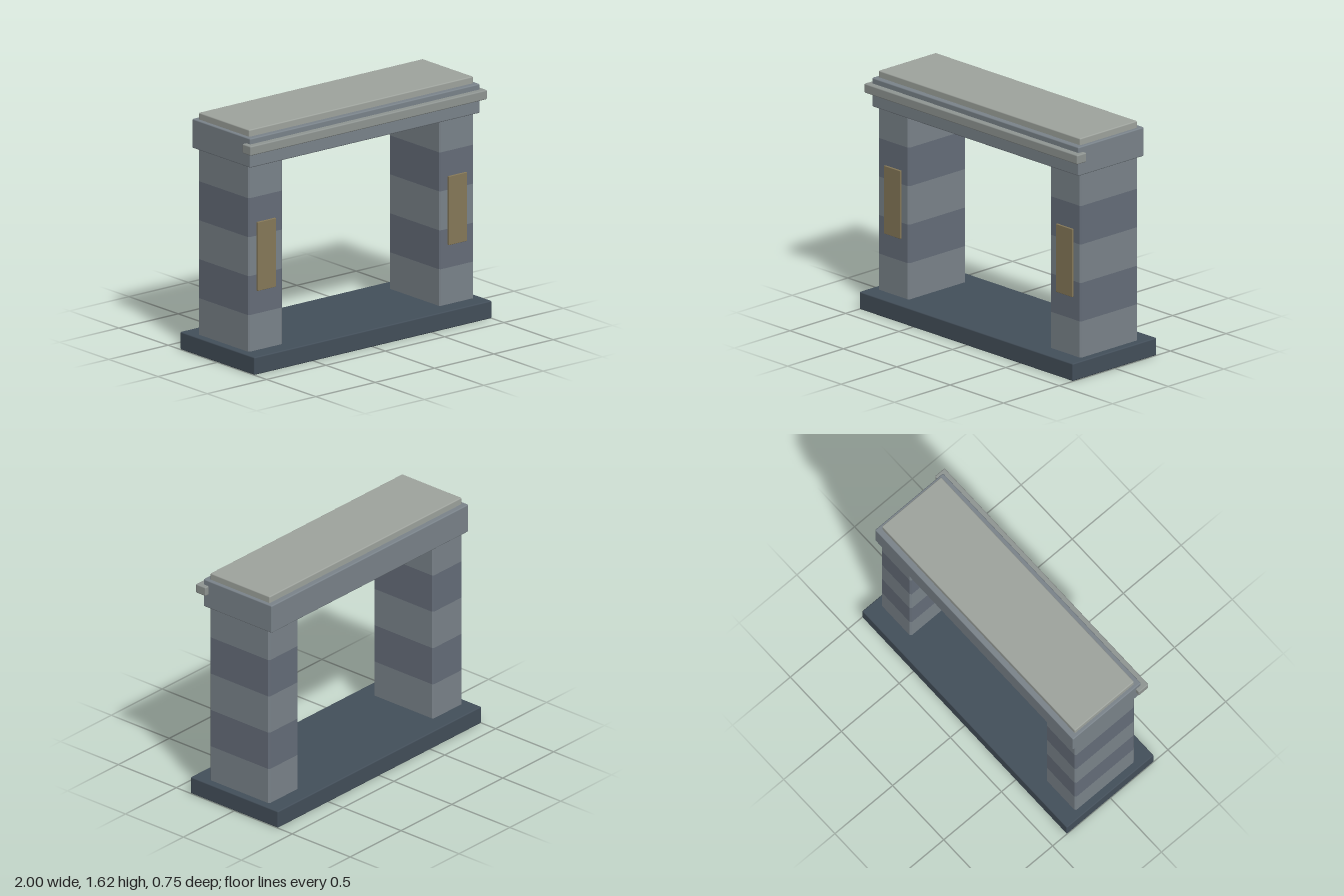
import * as THREE from 'three';
import { RoundedBoxGeometry } from 'three/addons/geometries/RoundedBoxGeometry.js';

const mat = (color) => new THREE.MeshStandardMaterial({ color });
const BEVEL = 0.008;

// Box with softened edges, given by its lower and upper corners
function slab(name, min, max, material, bevel = BEVEL) {
  const size = max.map((v, i) => v - min[i]);
  const mesh = new THREE.Mesh(new RoundedBoxGeometry(...size, 2, bevel), material);
  mesh.position.set(...max.map((v, i) => (v + min[i]) / 2));
  mesh.name = name;
  return mesh;
}

// Stone course: only its upright edges are chamfered, so courses stack flush
function courseGeometry(w, d, h, c = 0.01) {
  const x = w / 2, z = d / 2;
  const outline = new THREE.Shape([
    [x - c, -z], [x, -z + c], [x, z - c], [x - c, z],
    [-x + c, z], [-x, z - c], [-x, -z + c], [-x + c, -z],
  ].map(([a, b]) => new THREE.Vector2(a, b)));
  return new THREE.ExtrudeGeometry(outline, { depth: h, bevelEnabled: false }).rotateX(-Math.PI / 2);
}

export function createModel() {
  const model = new THREE.Group();
  model.name = 'stonePortal';
  const lightStone = mat(0x7a838a), darkStone = mat(0x656d79);
  const baseStone = mat(0x434f5a), trimStone = mat(0x8f9592);
  const capStone = mat(0x9ea39d), bronze = mat(0x857858);

  model.add(slab('base', [-1, 0, -0.377], [1, 0.12, 0.377], baseStone));

  // Two pillars of alternating stone courses, each with a front panel
  const levels = [0.115, 0.368, 0.632, 0.896, 1.16, 1.385];
  for (const side of [-1, 1]) {
    const pillar = new THREE.Group();
    pillar.name = side > 0 ? 'leftPillar' : 'rightPillar';
    for (let i = 0; i < 5; i++) {
      const geometry = courseGeometry(0.288, 0.515, levels[i + 1] - levels[i]);
      const course = new THREE.Mesh(geometry, i % 2 ? darkStone : lightStone);
      course.position.set(side * 0.805, levels[i], 0);
      course.name = 'stoneCourse' + (i + 1);
      pillar.add(course);
    }
    const x = side * 0.805;
    pillar.add(slab('frontPanel', [x - 0.077, 0.522, 0.245], [x + 0.077, 0.988, 0.27], bronze, 0.003));
    model.add(pillar);
  }

  // Lintel, front moulding and top cap
  model.add(slab('lintel', [-0.968, 1.378, -0.295], [0.968, 1.576, 0.295], lightStone));
  model.add(slab('frontMoulding', [-0.998, 1.474, 0.25], [0.998, 1.538, 0.335], trimStone));
  model.add(slab('topCap', [-0.944, 1.56, -0.257], [0.944, 1.622, 0.257], capStone));

  return model;
}
